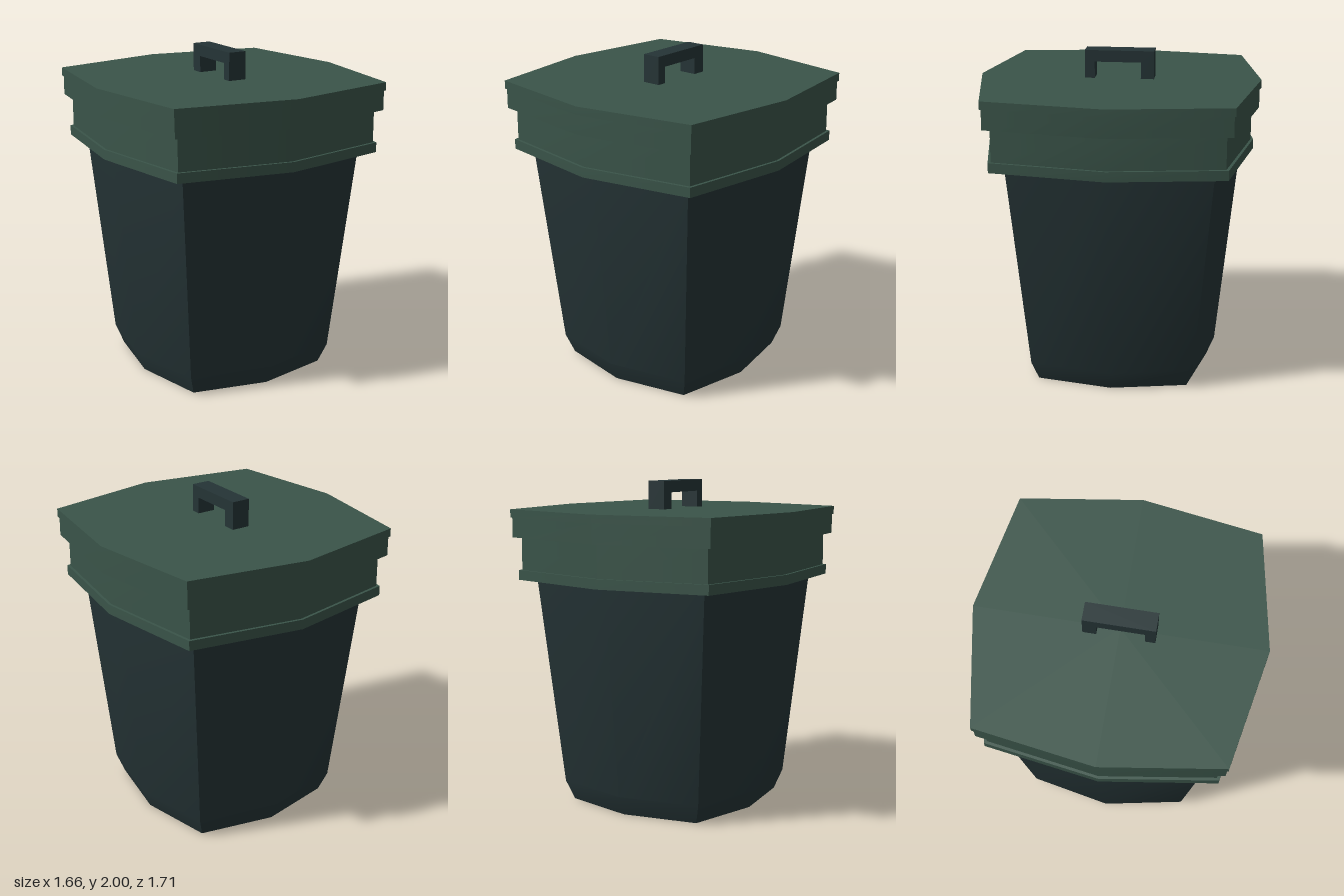
import * as THREE from 'three';
import { toCreasedNormals } from 'three/addons/utils/BufferGeometryUtils.js';

// Eight-sided outline: a = half width at mid x, b = at mid z, c = corner
const outline = ([y, a, b, c]) =>
  [[0, b], [c, c], [a, 0], [c, -c], [0, -b], [-c, -c], [-a, 0], [-c, c]]
    .map(([x, z]) => [x, y, z]);

// Closed solid lofted through rings, listed from bottom to top
function loft(rings) {
  const pos = [];
  const tri = (...pts) => pts.forEach((p) => pos.push(...p));
  const loops = rings.map(outline);
  const last = loops.length - 1;
  for (let i = 0; i < 8; i++) {
    const j = (i + 1) % 8;
    for (let k = 0; k < last; k++) {
      const lo = loops[k], hi = loops[k + 1];
      tri(lo[i], lo[j], hi[j]);
      tri(lo[i], hi[j], hi[i]);
    }
    tri([0, rings[0][0], 0], loops[0][j], loops[0][i]);
    tri([0, rings[last][0], 0], loops[last][i], loops[last][j]);
  }
  const geo = new THREE.BufferGeometry();
  geo.setAttribute('position', new THREE.Float32BufferAttribute(pos, 3));
  return toCreasedNormals(geo, 0.5);
}

export function createModel() {
  const group = new THREE.Group();
  const dark = new THREE.MeshStandardMaterial({ color: 0x253436 });
  const green = new THREE.MeshStandardMaterial({ color: 0x3a5449 });
  const add = (name, geo, mat) => {
    const mesh = new THREE.Mesh(geo, mat);
    mesh.name = name;
    group.add(mesh);
    return mesh;
  };

  // Tapered bin with a narrowed foot
  add('binBody', loft([
    [0, 0.55, 0.56, 0.46],
    [0.12, 0.597, 0.61, 0.5],
    [1.42, 0.727, 0.742, 0.612],
  ]), dark);

  // Stepped rim and lid
  add('lid', loft([
    [1.4, 0.793, 0.818, 0.69],
    [1.46, 0.793, 0.818, 0.69],
    [1.46, 0.777, 0.802, 0.675],
    [1.66, 0.777, 0.802, 0.675],
    [1.66, 0.822, 0.847, 0.714],
    [1.78, 0.822, 0.847, 0.714],
    [1.78, 0.83, 0.856, 0.722],
    [1.83, 0.83, 0.856, 0.722],
  ]), green);

  // Square bracket handle along z
  const bracket = new THREE.Shape([
    [-0.21, 1.82], [-0.13, 1.82], [-0.13, 1.93], [0.15, 1.93],
    [0.15, 1.82], [0.21, 1.82], [0.21, 2], [-0.21, 2],
  ].map(([z, y]) => new THREE.Vector2(z, y)));
  const handle = new THREE.ExtrudeGeometry(bracket, { depth: 0.114, bevelEnabled: false });
  handle.translate(0, 0, -0.057).rotateY(-Math.PI / 2);
  add('handle', handle, dark);

  return group;
}
